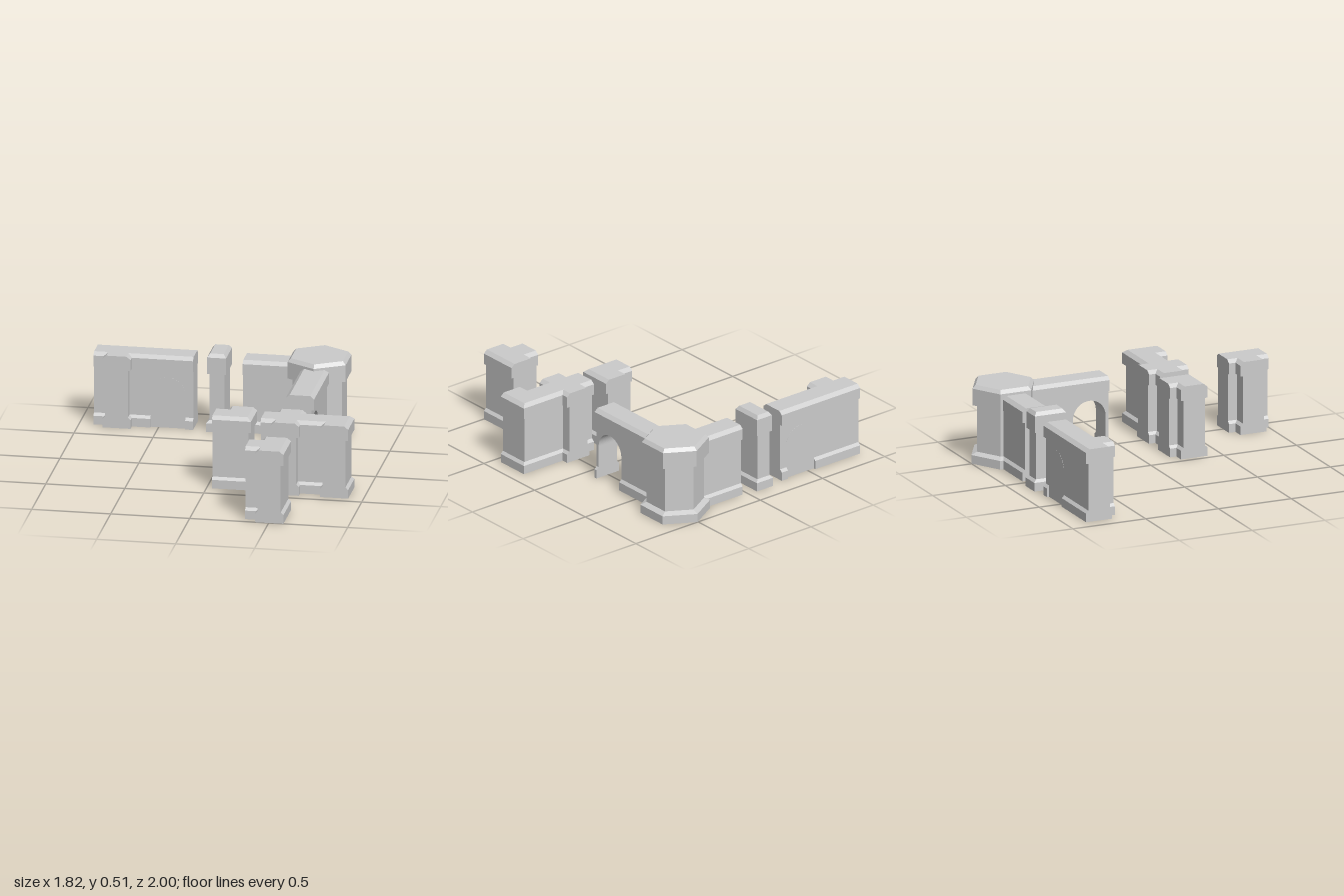
import * as THREE from 'three';

const material = new THREE.MeshStandardMaterial({ color: 0xcccccc, flatShading: true });

// Profiles: [inset from the plan outline, height]
const BASE = [[0, 0], [0, 0.056], [0.017, 0.073]];
const COPING = [[0.017, 0.38], [0, 0.38], [0, 0.452], [0.025, 0.473]];
const WALL = [...BASE, ...COPING];
const PILLAR = [...BASE, [0.017, 0.38], [0.005, 0.38], [0.005, 0.488], [0.022, 0.511]];
const TOWER = [[0, 0], [0, 0.056], [0.034, 0.073], [0.034, 0.38], [0.007, 0.38], [0.007, 0.488], [0.026, 0.511]];

// Shift every edge of the plan inward; edges marked as cut ends stay put
function insetPlan(plan, d) {
  const n = plan.length;
  const lines = plan.map((a, i) => {
    const b = plan[(i + 1) % n];
    const len = Math.hypot(b[0] - a[0], b[1] - a[1]);
    const ux = (b[0] - a[0]) / len, uz = (b[1] - a[1]) / len;
    const k = a[2] ? 0 : d;
    return { x: a[0] - uz * k, z: a[1] + ux * k, ux, uz };
  });
  return lines.map((l, i) => {
    const p = lines[(i + n - 1) % n];
    const t = ((l.x - p.x) * l.uz - (l.z - p.z) * l.ux) / (p.ux * l.uz - p.uz * l.ux);
    return new THREE.Vector2(p.x + p.ux * t, p.z + p.uz * t);
  });
}

// Loft a plan outline [x, z, cutEnd] upward through a profile
function loft(name, plan, profile) {
  const pos = [];
  const rings = profile.map(([d]) => insetPlan(plan, d));
  const put = (r, i) => pos.push(rings[r][i].x, profile[r][1], rings[r][i].y);
  const n = plan.length;
  for (let r = 0; r < rings.length - 1; r++) {
    for (let i = 0; i < n; i++) {
      const j = (i + 1) % n;
      put(r, i); put(r + 1, i); put(r, j);
      put(r, j); put(r + 1, i); put(r + 1, j);
    }
  }
  // Bottom and top caps
  for (const r of [0, rings.length - 1]) {
    for (const [a, b, c] of THREE.ShapeUtils.triangulateShape(rings[r].slice(), [])) {
      const [A, B, C] = [rings[r][a], rings[r][b], rings[r][c]];
      const facesDown = (B.x - A.x) * (C.y - A.y) - (B.y - A.y) * (C.x - A.x) > 0;
      const order = facesDown === (r === 0) ? [a, b, c] : [a, c, b];
      order.forEach(i => put(r, i));
    }
  }
  const geo = new THREE.BufferGeometry();
  geo.setAttribute('position', new THREE.Float32BufferAttribute(pos, 3));
  geo.computeVertexNormals();
  return named(new THREE.Mesh(geo, material), name);
}

function named(object, name) {
  object.name = name;
  return object;
}

function assembly(name, ...parts) {
  return named(new THREE.Group().add(...parts), name);
}

// Rectangle plan; ends = 'x' or 'z' marks the two ends on that axis as cut
function rect(x0, x1, z0, z1, ends = '') {
  const ex = ends === 'x', ez = ends === 'z';
  return [[x0, z0, ez], [x1, z0, ex], [x1, z1, ez], [x0, z1, ex]];
}

// Long wall with a stub and a filled archway
function blindArchWall() {
  const plan = [
    [-0.91, -0.868], [-0.28, -0.868, true], [-0.28, -0.688], [-0.667, -0.688],
    [-0.667, -0.64, true], [-0.845, -0.64], [-0.845, -0.688], [-0.91, -0.688, true],
  ];
  const footPlan = plan.map(([x, z, cut]) => [x === -0.28 ? -0.55 : x, z, cut]);
  const arch = new THREE.Shape();
  arch.moveTo(-0.55, 0);
  arch.lineTo(-0.33, 0);
  arch.lineTo(-0.33, 0.22);
  arch.absarc(-0.44, 0.22, 0.11, 0, Math.PI, false);
  arch.closePath();
  const panel = new THREE.ExtrudeGeometry(arch, { depth: 0.148, bevelEnabled: false, curveSegments: 20 });
  panel.translate(0, 0, -0.852);
  return assembly('blindArchWall',
    loft('wallBody', plan, [[0.017, 0], ...COPING]),
    loft('longFoot', footPlan, BASE),
    loft('shortFoot', rect(-0.33, -0.28, -0.868, -0.688, 'x'), BASE),
    named(new THREE.Mesh(panel, material), 'archPanel'));
}

// Wall pierced by an archway, running forward from the tower
function openArchWall() {
  const [x0, x1, back, front] = [0.413, 0.593, -0.7, -0.092];
  const [a0, a1] = [-0.336, -0.112];
  const r = (a1 - a0) / 2;
  const side = new THREE.Shape();
  side.moveTo(back, 0);
  side.lineTo(a0, 0);
  side.lineTo(a0, 0.217);
  side.absarc((a0 + a1) / 2, 0.217, r, Math.PI, 0, true);
  side.lineTo(a1, 0);
  side.lineTo(front, 0);
  side.lineTo(front, 0.38);
  side.lineTo(back, 0.38);
  side.closePath();
  const body = new THREE.ExtrudeGeometry(side, { depth: x1 - x0 - 0.034, bevelEnabled: false, curveSegments: 20 });
  body.rotateY(-Math.PI / 2).translate(x1 - 0.017, 0, 0);
  return assembly('openArchWall',
    named(new THREE.Mesh(body, material), 'archedBody'),
    loft('rearFoot', rect(x0, x1, back, a0, 'z'), BASE),
    loft('frontFoot', rect(x0, x1, a1, front, 'z'), BASE),
    loft('coping', rect(x0, x1, back, front, 'z'), COPING));
}

export function createModel() {
  const model = named(new THREE.Group(), 'wallKit');

  model.add(blindArchWall());
  model.add(loft('pillar', rect(-0.193, -0.063, -0.89, -0.666), PILLAR));

  // Six-sided tower with two walls meeting it
  const hexagon = Array.from({ length: 6 }, (_, i) => {
    const a = Math.PI / 6 + i * Math.PI / 3;
    return [0.505 + 0.22 * Math.cos(a), -0.78 + 0.22 * Math.sin(a)];
  });
  model.add(assembly('towerCorner',
    loft('tower', hexagon, TOWER),
    loft('sideWall', rect(0.034, 0.42, -0.868, -0.688, 'x'), WALL),
    openArchWall()));

  // Small L-shaped corner
  model.add(loft('cornerWall', [
    [0.034, 0.222], [0.102, 0.222], [0.102, 0.178, true], [0.281, 0.178],
    [0.281, 0.403], [0.034, 0.403, true],
  ], WALL));

  // Crossing joined to a corner
  model.add(loft('crossingWall', [
    [0.342, 0.222], [0.413, 0.222], [0.413, 0.178, true], [0.593, 0.178],
    [0.593, 0.222], [0.905, 0.222], [0.905, 0.45, true], [0.727, 0.45],
    [0.727, 0.403], [0.593, 0.403], [0.593, 0.45, true], [0.413, 0.45],
    [0.413, 0.403], [0.342, 0.403, true],
  ], WALL));

  // T-shaped junction
  model.add(loft('junctionWall', [
    [0.342, 0.772], [0.413, 0.772], [0.413, 0.727, true], [0.593, 0.727],
    [0.593, 1, true], [0.413, 1], [0.413, 0.952], [0.342, 0.952, true],
  ], WALL));

  return model;
}
